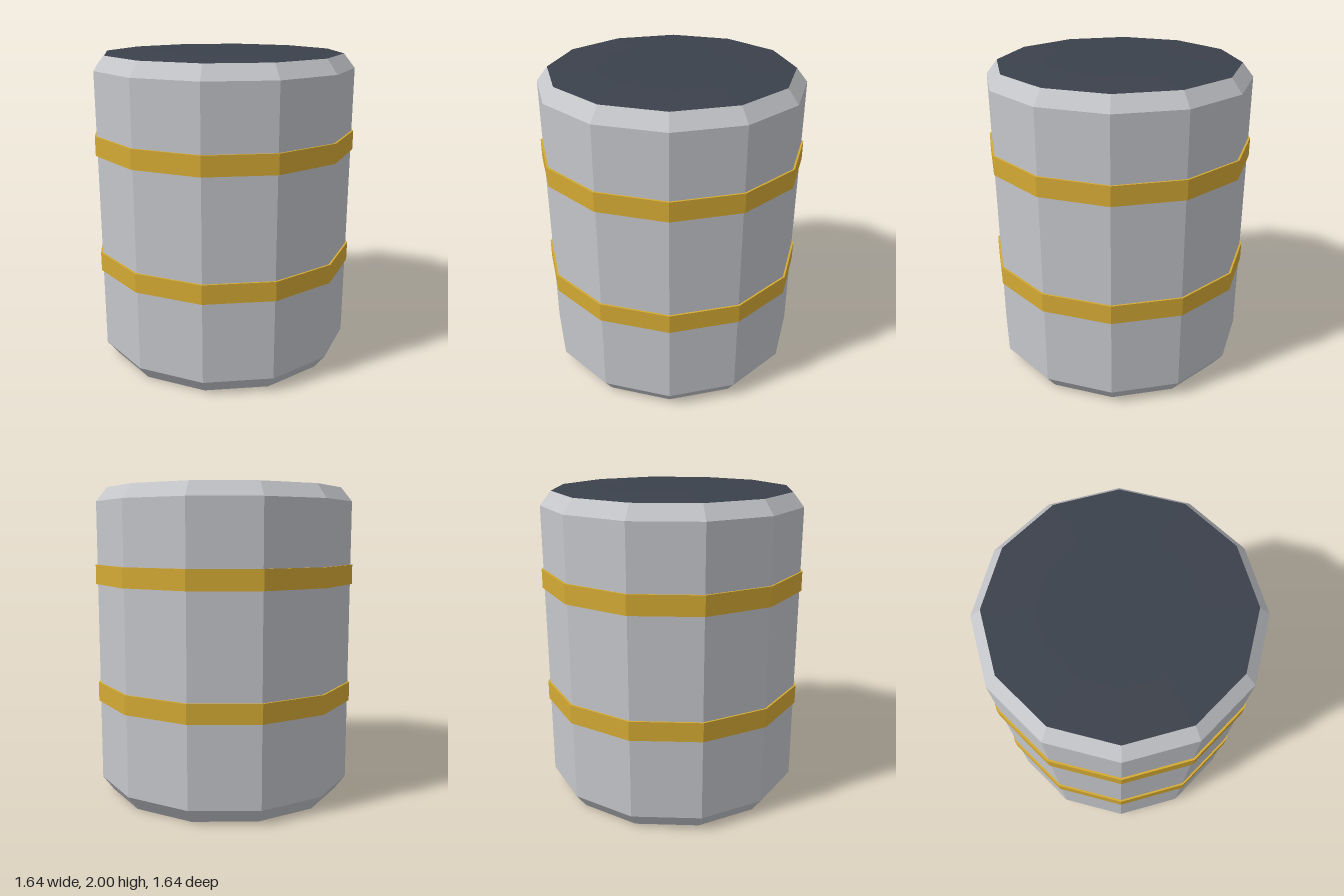
import * as THREE from 'three';

const SIDES = 12;
const FLAT = Math.cos(Math.PI / SIDES); // flat-to-corner radius ratio

// Faceted twelve-sided lathe; profile is [distance to flat, y], bottom to top
function faceted(name, profile, material) {
  const points = profile.map(([r, y]) => new THREE.Vector2(r / FLAT, y));
  const geometry = new THREE.LatheGeometry(points, SIDES, Math.PI / SIDES).toNonIndexed();
  geometry.computeVertexNormals();
  const mesh = new THREE.Mesh(geometry, material);
  mesh.name = name;
  return mesh;
}

export function createModel() {
  const metal = new THREE.MeshStandardMaterial({ color: 0xc4c6ca });
  metal.name = 'light grey metal';
  const gold = new THREE.MeshStandardMaterial({ color: 0xd4aa34 });
  gold.name = 'gold band';
  const dark = new THREE.MeshStandardMaterial({ color: 0x3b414b });
  dark.name = 'dark lid';

  const model = new THREE.Group();
  model.name = 'barrel';

  // Drum with bevelled rims and closed bottom
  model.add(faceted('body', [[0, 0], [0.738, 0], [0.806, 0.095], [0.806, 1.897], [0.738, 1.985]], metal));

  // Very shallow domed lid
  model.add(faceted('lid', [[0.738, 1.985], [0.45, 1.998], [0, 2]], dark));

  // Two raised bands
  for (const [name, low, high] of [['lowerBand', 0.615, 0.737], ['upperBand', 1.377, 1.5]]) {
    model.add(faceted(name, [[0.8, low], [0.818, low], [0.818, high], [0.8, high]], gold));
  }
  return model;
}
